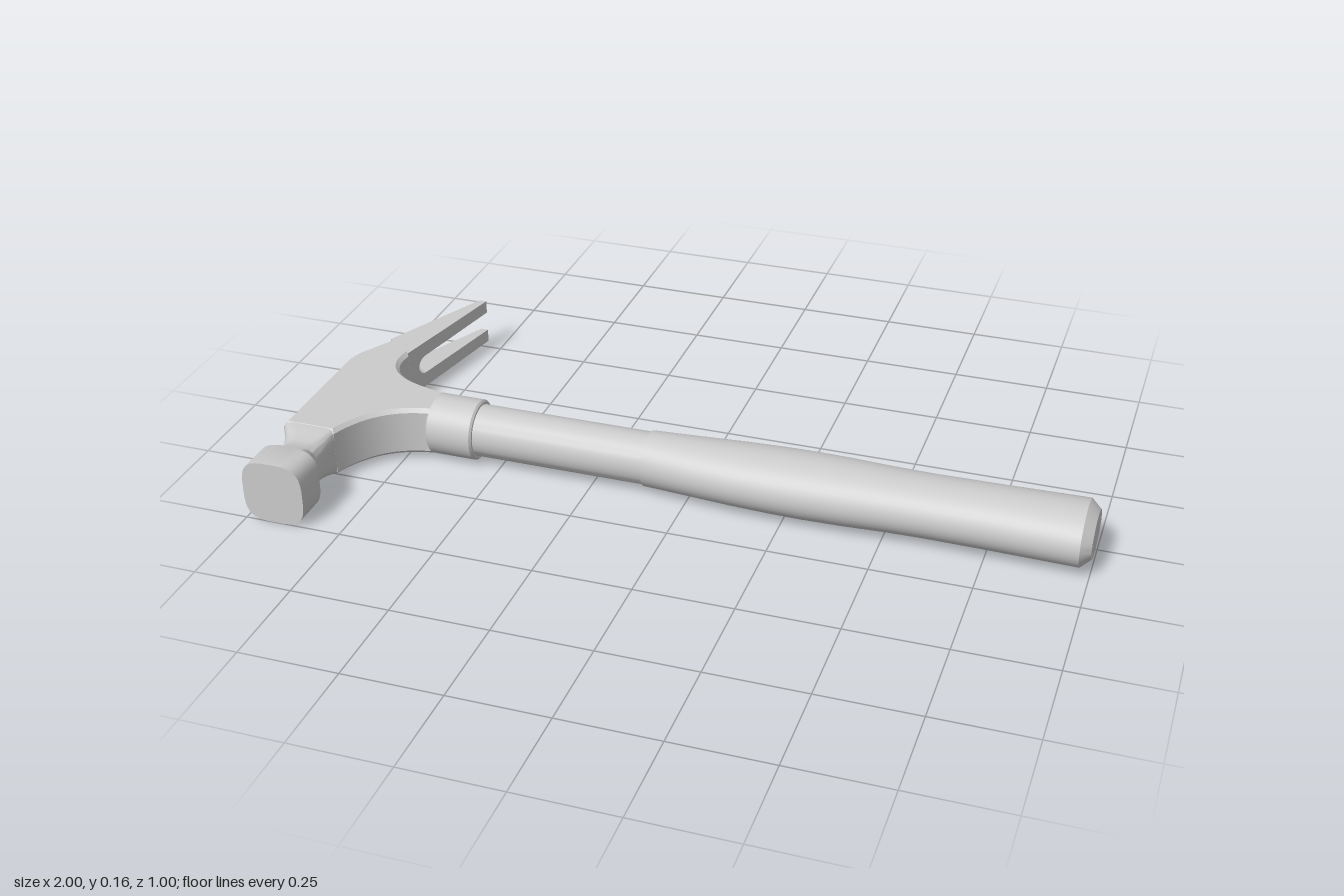
import * as THREE from 'three';
import { toCreasedNormals } from 'three/addons/utils/BufferGeometryUtils.js';

const material = new THREE.MeshStandardMaterial({ color: 0xcccccc });
const MID_Y = 0.085; // height of the tool's centre plane

function mesh(name, geometry, crease = 0.5) {
  const m = new THREE.Mesh(toCreasedNormals(geometry, crease), material);
  m.name = name;
  return m;
}

// Capped loft along z; each ring is [z, centreX, radiusX, radiusY, squareness]
function loft(rings, sides = 32) {
  const pos = [], index = [];
  for (const [z, cx, rx, ry, n = 2] of rings) {
    for (let i = 0; i < sides; i++) {
      const a = ((i + 0.5) / sides) * Math.PI * 2, c = Math.cos(a), s = Math.sin(a);
      pos.push(cx + rx * Math.sign(c) * Math.abs(c) ** (2 / n), ry * Math.sign(s) * Math.abs(s) ** (2 / n), z);
    }
  }
  const last = rings.length - 1, start = rings.length * sides, end = start + 1;
  pos.push(rings[0][1], 0, rings[0][0], rings[last][1], 0, rings[last][0]);
  for (let i = 0; i < sides; i++) {
    const j = (i + 1) % sides;
    for (let r = 0; r < last; r++) {
      const a = r * sides + i, b = r * sides + j;
      index.push(a, b, b + sides, a, b + sides, a + sides);
    }
    index.push(start, j, i, end, last * sides + i, last * sides + j);
  }
  const g = new THREE.BufferGeometry();
  g.setAttribute('position', new THREE.Float32BufferAttribute(pos, 3));
  g.setIndex(index);
  g.computeVertexNormals();
  return g;
}

// Oval handle section along x; each ring is [x, radiusZ, radiusY]
function handlePart(name, rings) {
  const g = loft(rings.map(([x, rz, ry]) => [x, 0, rz, ry]), 40);
  g.rotateY(Math.PI / 2).translate(0, MID_Y, 0.06);
  return mesh(name, g);
}

// Claw corners in plan (x, z): outer and inner edge, from root to tip
const OUTER = [new THREE.Vector2(-0.925, -0.235), new THREE.Vector2(-0.805, -0.5)];
const INNER = [new THREE.Vector2(-0.852, -0.18), new THREE.Vector2(-0.785, -0.5)];

function headBody() {
  const s = new THREE.Shape();
  s.moveTo(-1, 0.28);
  s.lineTo(-1, -0.07);
  s.quadraticCurveTo(-0.995, -0.11, -0.975, -0.14);
  s.lineTo(-0.937, -0.208);
  s.lineTo(OUTER[0].x, OUTER[0].y);
  s.lineTo(INNER[0].x, INNER[0].y);
  s.lineTo(-0.859, -0.148);
  s.bezierCurveTo(-0.875, -0.06, -0.81, -0.01, -0.67, 0.01);
  s.lineTo(-0.67, 0.112);
  s.bezierCurveTo(-0.77, 0.125, -0.83, 0.18, -0.862, 0.28);
  const b = 0.01;
  const g = new THREE.ExtrudeGeometry(s, {
    depth: 0.13 - 2 * b, bevelThickness: b, bevelSize: b, bevelOffset: -b, bevelSegments: 1, curveSegments: 14,
  });
  g.rotateX(Math.PI / 2).translate(0, MID_Y + 0.065 - b, 0);
  return mesh('headBody', g);
}

// Slotted plate, bent onto the tapering claw: s runs to the tip, t across
function claw() {
  const s = new THREE.Shape();
  s.moveTo(-0.1, -0.065);
  s.lineTo(1, -0.062);
  s.lineTo(1, -0.027);
  s.lineTo(0.12, -0.025);
  s.absellipse(0.12, 0, 0.09, 0.025, -Math.PI / 2, Math.PI / 2, true);
  s.lineTo(1, 0.027);
  s.lineTo(1, 0.062);
  s.lineTo(-0.1, 0.065);
  const g = new THREE.ExtrudeGeometry(s, { depth: 1, bevelEnabled: false, curveSegments: 16 });
  const p = g.attributes.position;
  const o = new THREE.Vector2(), i = new THREE.Vector2();
  for (let k = 0; k < p.count; k++) {
    o.lerpVectors(OUTER[0], OUTER[1], p.getX(k));
    i.lerpVectors(INNER[0], INNER[1], p.getX(k));
    o.lerp(i, p.getZ(k));
    p.setXYZ(k, o.x, MID_Y + p.getY(k), o.y);
  }
  return mesh('claw', g);
}

// Waisted neck and squarish striking face
function poll() {
  const g = loft([
    [0.265, -0.931, 0.069, 0.064, 9],
    [0.28, -0.931, 0.069, 0.064, 8],
    [0.305, -0.927, 0.059, 0.06, 5],
    [0.335, -0.922, 0.053, 0.056, 3.5],
    [0.365, -0.921, 0.054, 0.057, 3.2],
    [0.41, -0.92, 0.08, 0.082, 3.4],
    [0.5, -0.92, 0.08, 0.082, 3.4],
  ]);
  g.translate(0, MID_Y, 0);
  return mesh('poll', g, 0.55);
}

export function createModel() {
  const head = new THREE.Group();
  head.name = 'head';
  head.add(headBody(), claw(), poll());

  const handle = new THREE.Group();
  handle.name = 'handle';
  handle.add(
    handlePart('collar', [[-0.685, 0.072, 0.073], [-0.68, 0.077, 0.078], [-0.565, 0.077, 0.078], [-0.56, 0.072, 0.073]]),
    handlePart('shaft', [[-0.6, 0.066, 0.067], [-0.1, 0.066, 0.067]]),
    handlePart('grip', [
      [-0.11, 0.072, 0.07], [0, 0.083, 0.072], [0.12, 0.094, 0.075], [0.22, 0.099, 0.077],
      [0.3, 0.1, 0.078], [0.4, 0.098, 0.077], [0.5, 0.094, 0.074], [0.6, 0.092, 0.073],
      [0.75, 0.094, 0.074], [0.975, 0.1, 0.076], [1, 0.077, 0.052],
    ]),
  );

  const model = new THREE.Group();
  model.name = 'clawHammer';
  model.add(head, handle);
  return model;
}
